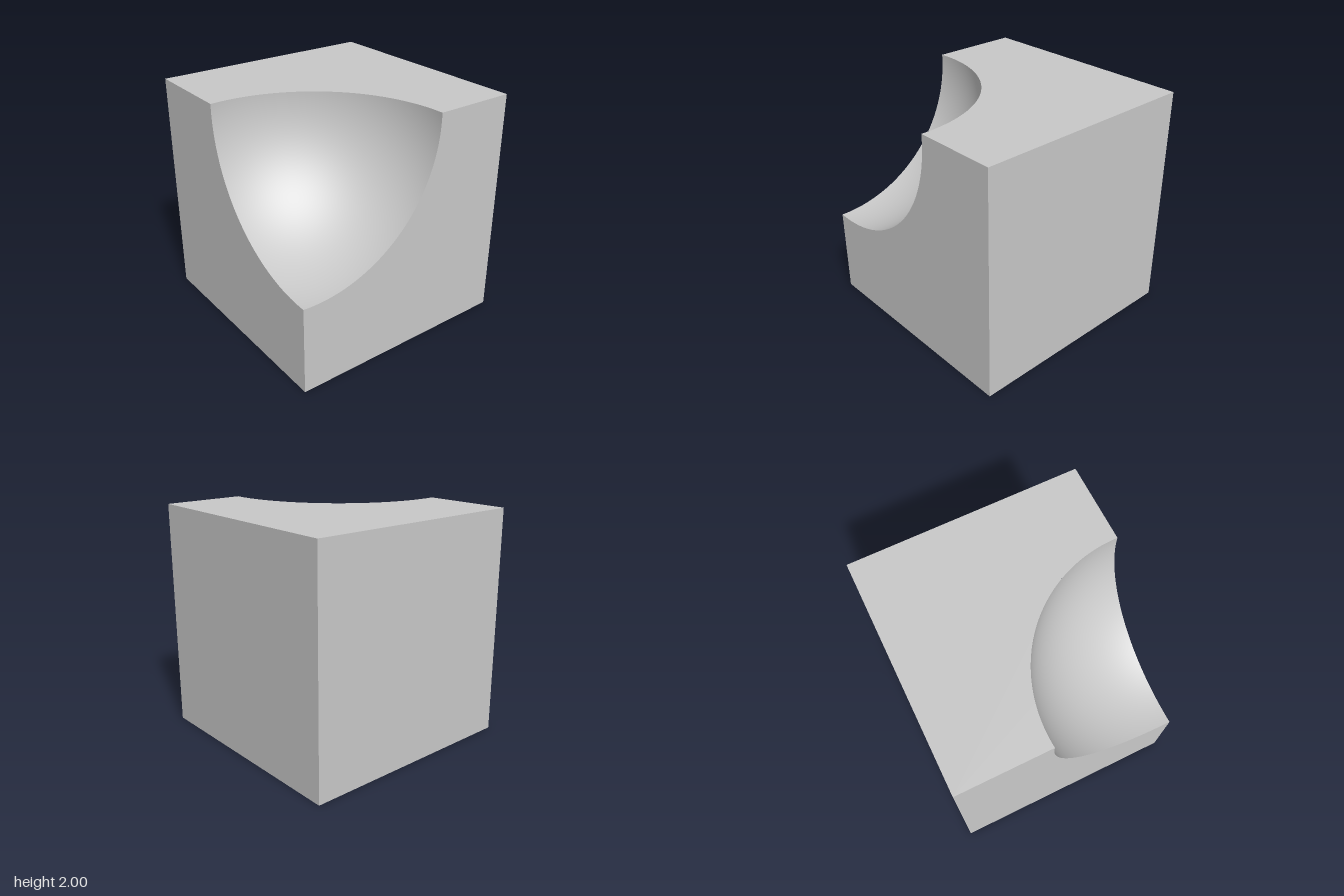
import * as THREE from 'three';

const CORNER = new THREE.Vector3(-1, 2, 1); // cube corner removed by the hollow
const OPPOSITE = new THREE.Vector3(1, 0, -1);
const CENTRE = new THREE.Vector3(-0.9, 1.955, 0.975);
const RADIUS = 1.188;
const STEPS = 48;

// Distance from the missing corner to the spherical hollow along a unit direction
function reach(dir) {
  const offset = CORNER.clone().sub(CENTRE);
  const b = offset.dot(dir);
  return -b + Math.sqrt(b * b - offset.lengthSq() + RADIUS * RADIUS);
}

// Flat face spanned by u and v from an origin corner
function placeFace(shape, u, v, origin) {
  const basis = new THREE.Matrix4().makeBasis(u, v, u.clone().cross(v)).setPosition(origin);
  return new THREE.ShapeGeometry(shape).applyMatrix4(basis);
}

// Square face with the curved bite taken out of its first corner
function notchedShape(u, v) {
  const points = [[2, 0], [2, 2], [0, 2]].map(([a, b]) => new THREE.Vector2(a, b));
  for (let i = STEPS; i >= 0; i--) {
    const t = (i / STEPS) * Math.PI / 2;
    const dir = u.clone().multiplyScalar(Math.cos(t)).addScaledVector(v, Math.sin(t));
    const r = reach(dir);
    points.push(new THREE.Vector2(r * Math.cos(t), r * Math.sin(t)));
  }
  return new THREE.Shape(points);
}

// Concave patch: an octant of a sphere pushed out from the corner onto the hollow
function hollowGeometry() {
  const geo = new THREE.SphereGeometry(1, STEPS, STEPS, Math.PI, Math.PI / 2, Math.PI / 2, Math.PI / 2);
  const pos = geo.attributes.position;
  const p = new THREE.Vector3();
  for (let i = 0; i < pos.count; i++) {
    p.fromBufferAttribute(pos, i).normalize();
    p.multiplyScalar(reach(p)).add(CORNER);
    pos.setXYZ(i, p.x, p.y, p.z);
    p.subVectors(CENTRE, p).normalize();
    geo.attributes.normal.setXYZ(i, p.x, p.y, p.z);
  }
  // turn the faces inward
  geo.setIndex(Array.from(geo.index.array).reverse());
  return geo;
}

export function createModel() {
  const group = new THREE.Group();
  group.name = 'hollowedCube';
  const grey = new THREE.MeshStandardMaterial({ color: 0xc8c8c8 });
  grey.name = 'grey';

  const add = (name, geometry) => {
    const mesh = new THREE.Mesh(geometry, grey);
    mesh.name = name;
    group.add(mesh);
  };

  const right = new THREE.Vector3(1, 0, 0);
  const down = new THREE.Vector3(0, -1, 0);
  const back = new THREE.Vector3(0, 0, -1);
  const square = new THREE.Shape([[0, 0], [2, 0], [2, 2], [0, 2]].map(([a, b]) => new THREE.Vector2(a, b)));

  // Each notched face is paired with the full face across the cube
  const pairs = [
    ['frontFace', 'backFace', down, right],
    ['topFace', 'bottomFace', right, back],
    ['rightFace', 'leftFace', back, down],
  ];
  for (const [notched, full, u, v] of pairs) {
    add(notched, placeFace(notchedShape(u, v), u, v, CORNER));
    add(full, placeFace(square, v.clone().negate(), u.clone().negate(), OPPOSITE));
  }

  add('sphericalHollow', hollowGeometry());
  return group;
}
